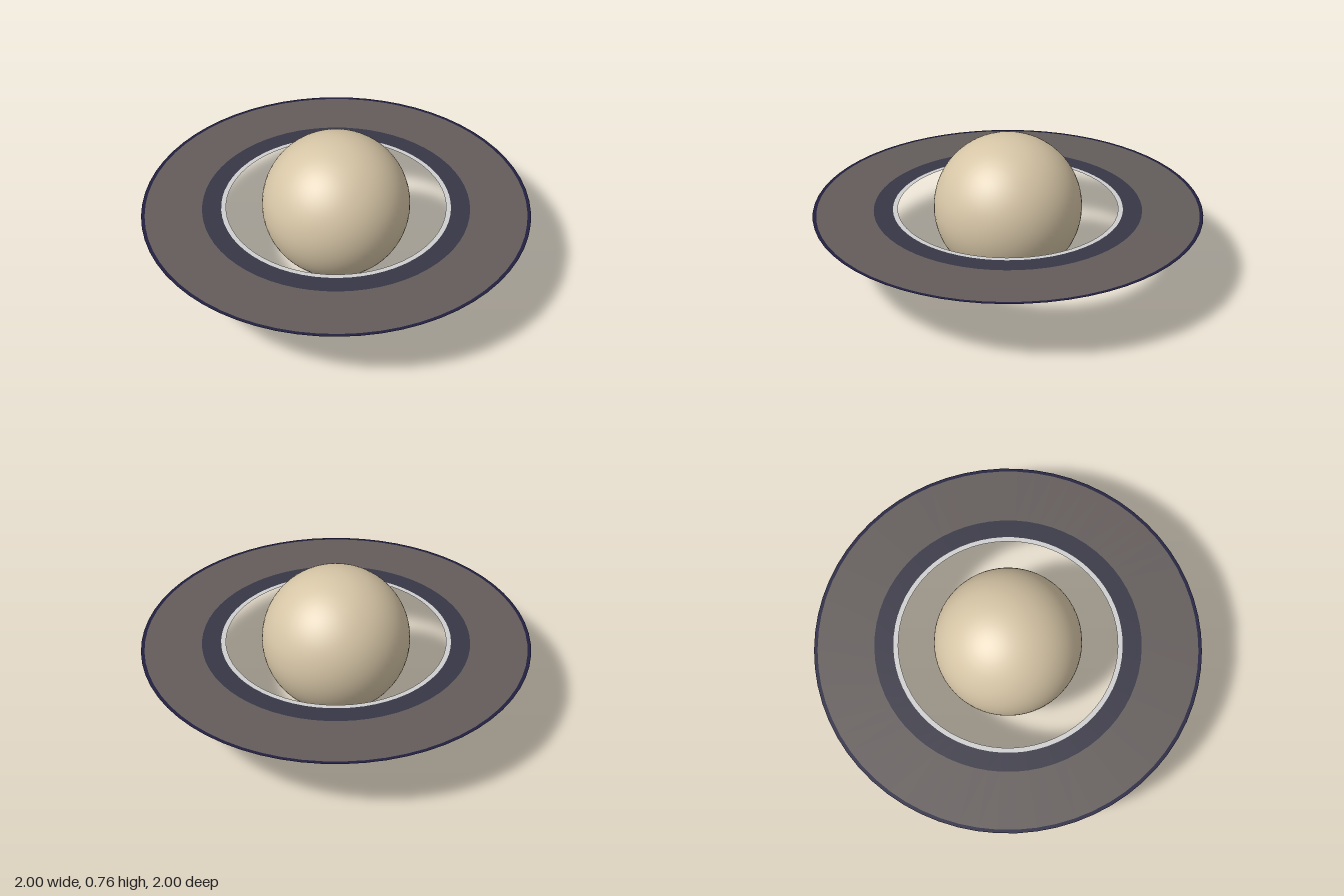
import * as THREE from 'three';

const RADIUS = 0.382;

function material(name, color, side = THREE.FrontSide) {
  const m = new THREE.MeshStandardMaterial({ color, side });
  m.name = name;
  return m;
}

export function createModel() {
  const model = new THREE.Group();
  model.name = 'ringedPlanet';

  // Planet globe resting on the ground plane
  const globe = new THREE.Mesh(
    new THREE.SphereGeometry(RADIUS, 64, 48),
    material('sand', 0xd6c5a6)
  );
  globe.name = 'globe';
  globe.position.y = RADIUS;
  model.add(globe);

  // Flat concentric ring bands: name, inner radius, outer radius, colour name, colour
  const bands = [
    ['innerRing', 0.567, 0.592, 'paleGrey', 0xcfcfcf],
    ['darkRing', 0.592, 0.69, 'slate', 0x373645],
    ['mainRing', 0.69, 0.982, 'warmGrey', 0x635c5b],
    ['outerRim', 0.982, 1.0, 'navy', 0x222040],
  ];
  const rings = new THREE.Group();
  rings.name = 'rings';
  rings.position.y = RADIUS;
  for (const [name, inner, outer, colorName, color] of bands) {
    const geometry = new THREE.RingGeometry(inner, outer, 64, 1).rotateX(-Math.PI / 2);
    const ring = new THREE.Mesh(geometry, material(colorName, color, THREE.DoubleSide));
    ring.name = name;
    rings.add(ring);
  }
  model.add(rings);

  return model;
}
